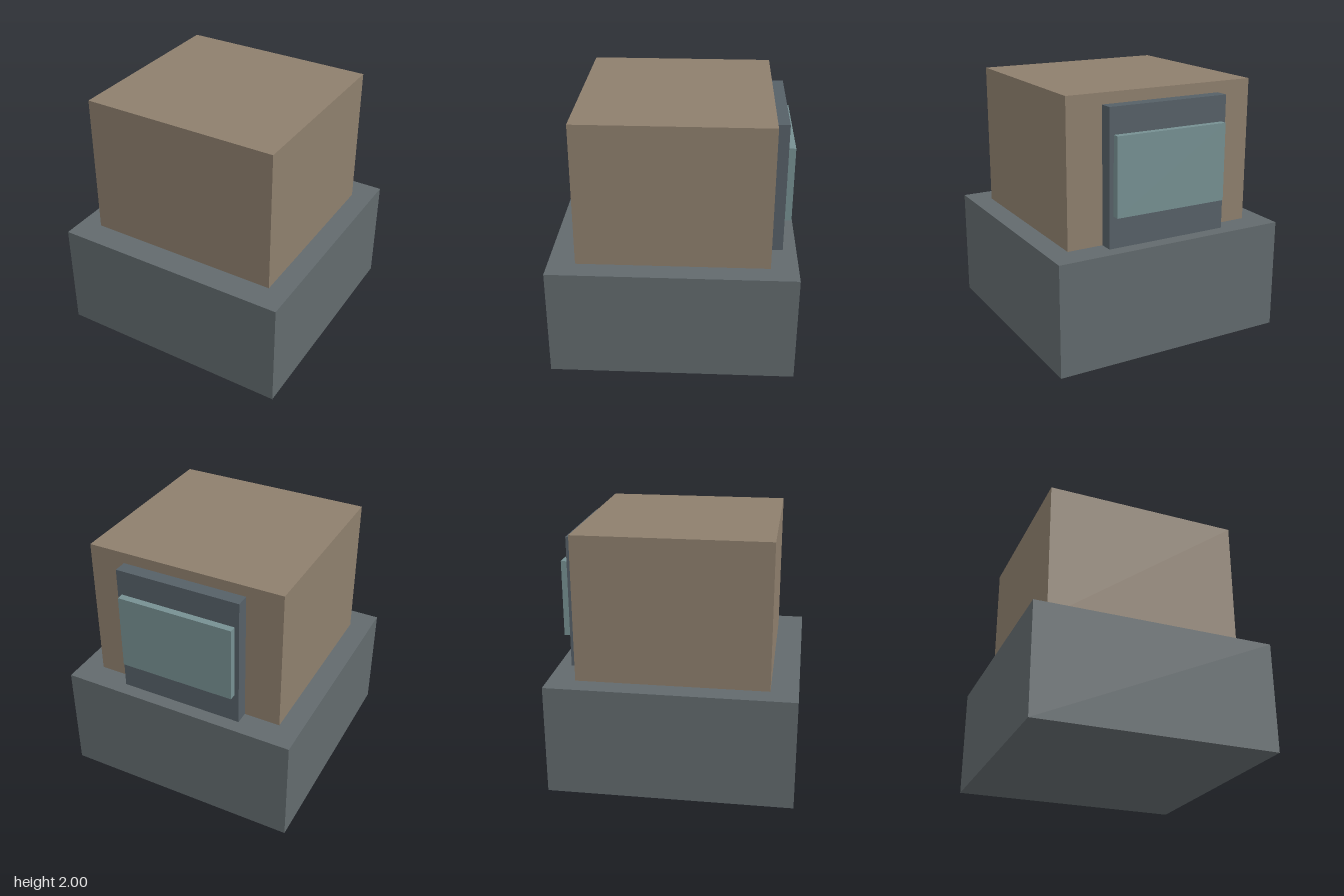
import * as THREE from 'three';

// Box given by its width and its y and z extents, centred on x = 0
function block(name, color, width, [y0, y1], [z0, z1]) {
  const mesh = new THREE.Mesh(
    new THREE.BoxGeometry(width, y1 - y0, z1 - z0),
    new THREE.MeshStandardMaterial({ color })
  );
  mesh.name = name;
  mesh.position.set(0, (y0 + y1) / 2, (z0 + z1) / 2);
  return mesh;
}

export function createModel() {
  const model = new THREE.Group();
  model.name = 'buildingBlock';
  model.add(
    // Wide stone base and the smaller storey on top of it
    block('base', 0x626a6d, 1.9, [0, 0.87], [-0.95, 0.95]),
    block('upperStorey', 0x8e7f6d, 1.56, [0.87, 2], [-0.74, 0.74]),
    // Raised frame on the back wall, carrying the pane
    block('backFrame', 0x566067, 0.99, [0.87, 1.915], [-0.845, -0.74]),
    block('backPane', 0x769092, 0.92, [1.115, 1.715], [-0.9, -0.845])
  );
  return model;
}
